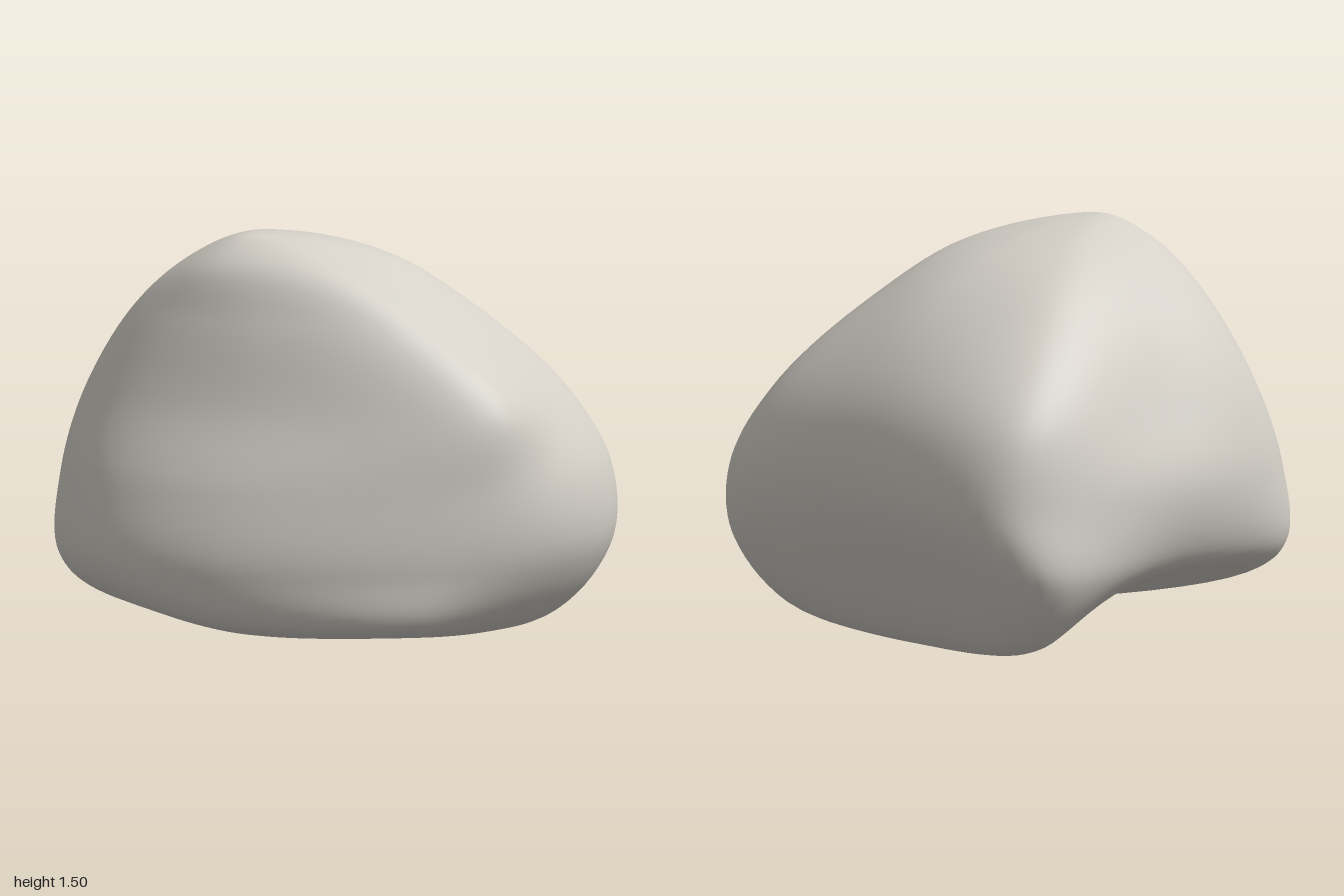
import * as THREE from 'three';
import { mergeVertices } from 'three/addons/utils/BufferGeometryUtils.js';

const stone = new THREE.MeshStandardMaterial({ color: 0xd4d0c8 });
stone.name = 'warm grey stone';

const AROUND = 108, UP = 64;
const HEIGHTS = [0.32, 0.6, 0.89, 1.2, 1.4];
const bottom = new THREE.Vector3(0.02, 0.1, 0.12);
const top = new THREE.Vector3(-0.28, 1.49, 0.32);

// Each profile runs up one side: underside rim [x, y, z], then [x, z] at every height
const PROFILES = [
  { rim: [0.32, 0.11, 0.74], xz: [[0.42, 0.765], [0.56, 0.715], [0.65, 0.64], [0.32, 0.54], [-0.02, 0.45]] },     // front corner
  { rim: [-0.3, 0.12, 0.76], xz: [[-0.33, 0.82], [-0.28, 0.77], [-0.15, 0.67], [-0.25, 0.56], [-0.26, 0.475]] },  // front face
  { rim: [-0.7, 0.18, 0.57], xz: [[-0.81, 0.61], [-0.83, 0.54], [-0.77, 0.45], [-0.61, 0.42], [-0.43, 0.42]] },   // front shoulder
  { rim: [-0.84, 0.2, 0.32], xz: [[-0.98, 0.29], [-0.98, 0.22], [-0.9, 0.17], [-0.72, 0.21], [-0.5, 0.3]] },      // side lobe
  { rim: [-0.5, 0.23, -0.12], xz: [[-0.69, -0.22], [-0.74, -0.3], [-0.68, -0.23], [-0.6, -0.06], [-0.46, 0.12]] }, // rear slope
  { rim: [-0.27, 0.05, -0.56], xz: [[-0.34, -0.79], [-0.23, -0.83], [-0.25, -0.755], [-0.27, -0.45], [-0.27, -0.13]] }, // rear corner
  { rim: [0.26, 0, -0.27], xz: [[0.4, -0.45], [0.46, -0.52], [0.41, -0.49], [0.26, -0.31], [0.04, -0.07]] },      // rear face
  { rim: [0.72, 0.05, -0.02], xz: [[0.97, -0.08], [0.97, -0.13], [0.8, -0.13], [0.48, 0], [0.18, 0.17]] },        // side tip
  { rim: [0.61, 0.055, 0.29], xz: [[0.83, 0.4], [0.87, 0.39], [0.78, 0.29], [0.45, 0.31], [0.1, 0.34]] },         // side face
];

// Mirror a point across a pole so that the surface runs level over it
const across = (pole, p) => new THREE.Vector3(2 * pole.x - p.x, p.y, 2 * pole.z - p.z);

function profileCurve({ rim, xz }) {
  const side = [new THREE.Vector3(...rim), ...xz.map(([x, z], i) => new THREE.Vector3(x, HEIGHTS[i], z))];
  const points = [across(bottom, side[0]), bottom, ...side, top, across(top, side[side.length - 1])];
  const spans = points.length - 1;
  const curve = new THREE.CatmullRomCurve3(points);
  return (v) => curve.getPoint((1 + v * (spans - 2)) / spans);
}

// Skin the profiles with smooth closed rings between the two poles
function rockGeometry() {
  const profiles = PROFILES.map(profileCurve);
  const positions = [], index = [];
  for (let j = 0; j <= UP; j++) {
    const ring = new THREE.CatmullRomCurve3(profiles.map((p) => p(j / UP)), true);
    for (let i = 0; i < AROUND; i++) {
      const p = j === 0 ? bottom : j === UP ? top : ring.getPoint(i / AROUND);
      positions.push(p.x, p.y, p.z);
    }
  }
  for (let j = 0; j < UP; j++) {
    for (let i = 0; i < AROUND; i++) {
      const a = j * AROUND + i, b = j * AROUND + (i + 1) % AROUND;
      const c = a + AROUND, d = b + AROUND;
      if (j < UP - 1) index.push(c, d, b);
      if (j > 0) index.push(a, c, b);
    }
  }
  const geometry = new THREE.BufferGeometry();
  geometry.setAttribute('position', new THREE.Float32BufferAttribute(positions, 3));
  geometry.setIndex(index);
  const merged = mergeVertices(geometry, 1e-5);
  merged.computeVertexNormals();
  return merged;
}

export function createModel() {
  const group = new THREE.Group();
  group.name = 'rock';
  const boulder = new THREE.Mesh(rockGeometry(), stone);
  boulder.name = 'boulder';
  group.add(boulder);
  return group;
}
